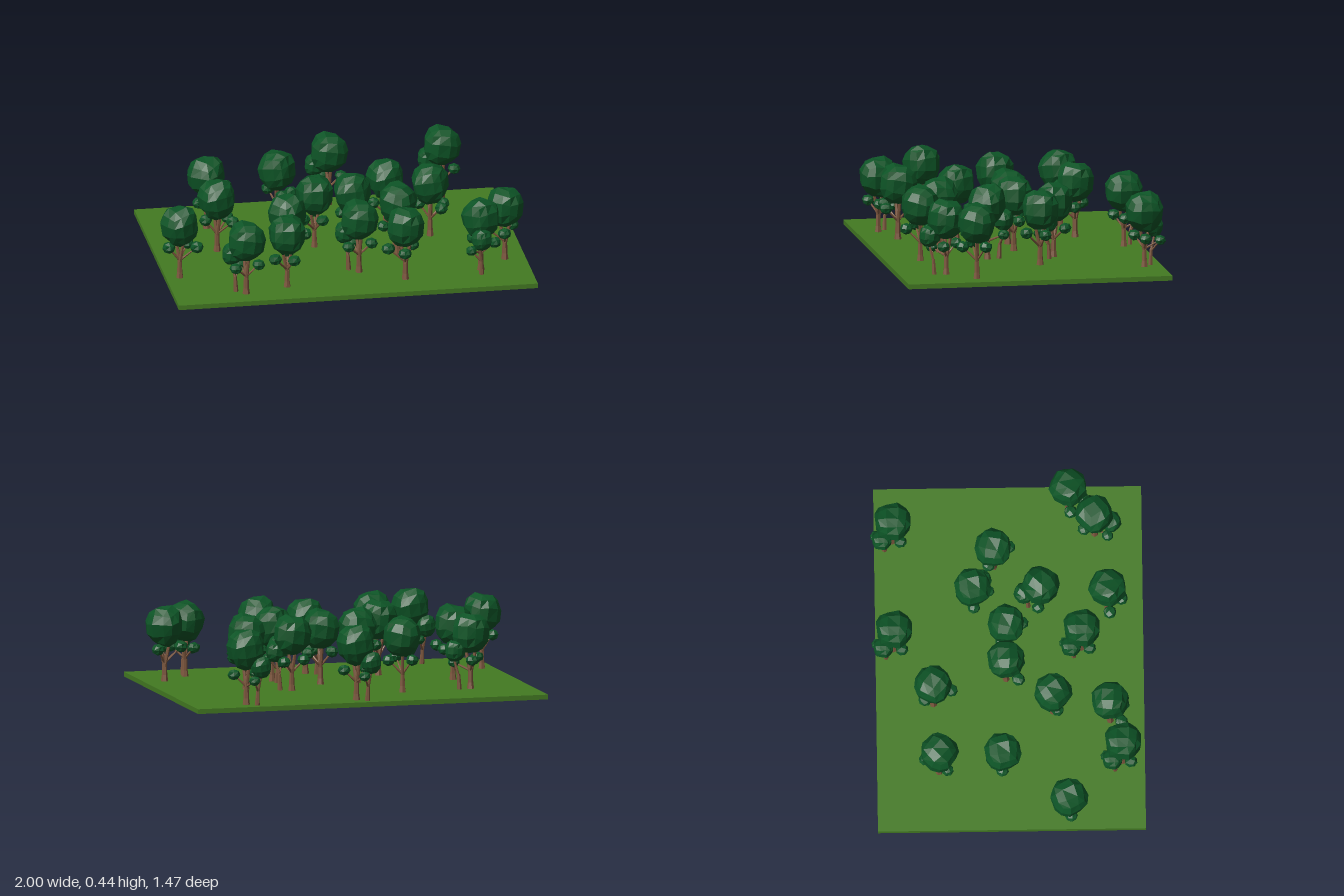
import * as THREE from 'three';

const grass = new THREE.MeshStandardMaterial({ color: 0x437a22 });
grass.name = 'grass green';
const leaf = new THREE.MeshStandardMaterial({ color: 0x0d5426 });
leaf.name = 'leaf green';
const bark = new THREE.MeshStandardMaterial({ color: 0x7d573e });
bark.name = 'bark brown';

function faceted(geometry) {
  const g = geometry.toNonIndexed();
  g.computeVertexNormals();
  return g;
}

// Unit foliage ball: a rounded cube with slightly uneven corners, narrower below
function foliageGeometry(seed, segments) {
  const g = new THREE.BoxGeometry(2, 2, 2, segments, segments, segments);
  const p = g.attributes.position;
  const v = new THREE.Vector3();
  for (let i = 0; i < p.count; i++) {
    v.fromBufferAttribute(p, i).normalize();
    const wobble = Math.sin(v.x * 7.1 + v.y * 11.3 + v.z * 5.7 + seed);
    v.multiplyScalar(1.03 + 0.05 * wobble);
    const taper = 1 + 0.07 * v.y;
    p.setXYZ(i, v.x * taper, v.y, v.z * taper);
  }
  g.rotateZ(0.15).rotateY(0.3 + seed);
  return faceted(g);
}
const crownGeo = foliageGeometry(0.4, 3);
const tuftGeo = foliageGeometry(1.7, 2);

function foliage(name, geo, x, y, z, r, ry = r) {
  const m = new THREE.Mesh(geo, leaf);
  m.name = name;
  m.position.set(x, y, z);
  m.scale.set(r, ry, r);
  return m;
}

// Tapered limb between two points
function limb(name, a, b, r0, r1) {
  const from = new THREE.Vector3(...a), to = new THREE.Vector3(...b);
  const dir = to.clone().sub(from);
  const g = faceted(new THREE.CylinderGeometry(r1, r0, dir.length(), 6));
  const m = new THREE.Mesh(g, bark);
  m.name = name;
  m.position.copy(from).add(to).multiplyScalar(0.5);
  m.quaternion.setFromUnitVectors(new THREE.Vector3(0, 1, 0), dir.normalize());
  return m;
}

// One tree; local +x points to the side with the outer foliage
function makeTree(hasSapling) {
  const t = new THREE.Group();
  t.add(foliage('crown', crownGeo, 0, 0.327, 0, 0.1, 0.112));
  t.add(
    limb('trunkFoot', [0, 0.02, 0], [0, 0.06, 0], 0.021, 0.015),
    limb('trunk', [0, 0.06, 0], [0, 0.12, 0], 0.015, 0.013),
    limb('branch', [0, 0.11, 0], [0.025, 0.25, 0.015], 0.011, 0.008),
    limb('branch', [0, 0.11, 0], [-0.025, 0.25, -0.015], 0.011, 0.008),
  );
  // Small side tufts, each on a thin twig
  const tufts = hasSapling
    ? [[-0.055, 0.19, 0.04, 0.033], [0.02, 0.19, -0.075, 0.033], [0.075, 0.165, 0.055, 0.03]]
    : [[0.095, 0.21, 0.01, 0.035], [-0.055, 0.205, 0.03, 0.034], [0.03, 0.2, -0.07, 0.034]];
  for (const [x, y, z, r] of tufts) {
    t.add(foliage('tuft', tuftGeo, x, y, z, r, r * 0.9));
    t.add(limb('twig', [0, 0.125, 0], [x, y, z], 0.007, 0.004));
  }
  // Lower second stem with its own foliage
  if (hasSapling) {
    t.add(foliage('saplingCrown', crownGeo, 0.09, 0.235, 0, 0.055, 0.06));
    t.add(limb('saplingTrunk', [0.065, 0.02, 0], [0.07, 0.11, 0], 0.014, 0.009));
    t.add(limb('saplingBranch', [0.07, 0.1, 0], [0.095, 0.2, 0.01], 0.008, 0.006));
    t.add(limb('saplingTwig', [0.07, 0.1, 0], [0.075, 0.165, 0.055], 0.006, 0.004));
  }
  return t;
}

// x, z, direction of the outer foliage (x, z), second stem or not
const trees = [
  [0.08, -0.62, -7, -6, 1], [0.7, -0.62, -7, -6, 1], [-0.63, -0.385, 10, -1, 1],
  [-0.24, -0.41, 2, 9, 0], [0.32, -0.19, 8, 5, 1], [-0.63, -0.04, 8, 5, 0],
  [-0.1, -0.015, -6, 7, 0], [0.107, -0.01, 5, 7, 0], [0.545, -0.075, 5, 7, 0],
  [0.325, 0.175, -1, -9, 1], [-0.29, 0.235, 10, 1, 0], [-0.895, 0.315, 9, 3, 0],
  [0.075, 0.395, -7, -6, 1], [0.885, 0.335, -9, 2, 0], [0.73, 0.475, -1, 9, 1],
  [-0.58, 0.61, -7, -6, 1], [-0.345, 0.545, -7, 7, 0], [0.305, 0.54, -9, 2, 0],
];

export function createModel() {
  const model = new THREE.Group();
  model.name = 'grove';

  const ground = new THREE.Mesh(new THREE.BoxGeometry(1.97, 0.026, 1.45), grass);
  ground.name = 'ground';
  ground.position.set(0.015, 0.013, 0.005);
  model.add(ground);

  for (const [x, z, dx, dz, sapling] of trees) {
    const t = makeTree(sapling === 1);
    t.name = 'tree';
    t.position.set(x, 0, z);
    t.rotation.y = Math.atan2(-dz, dx);
    model.add(t);
  }
  return model;
}
